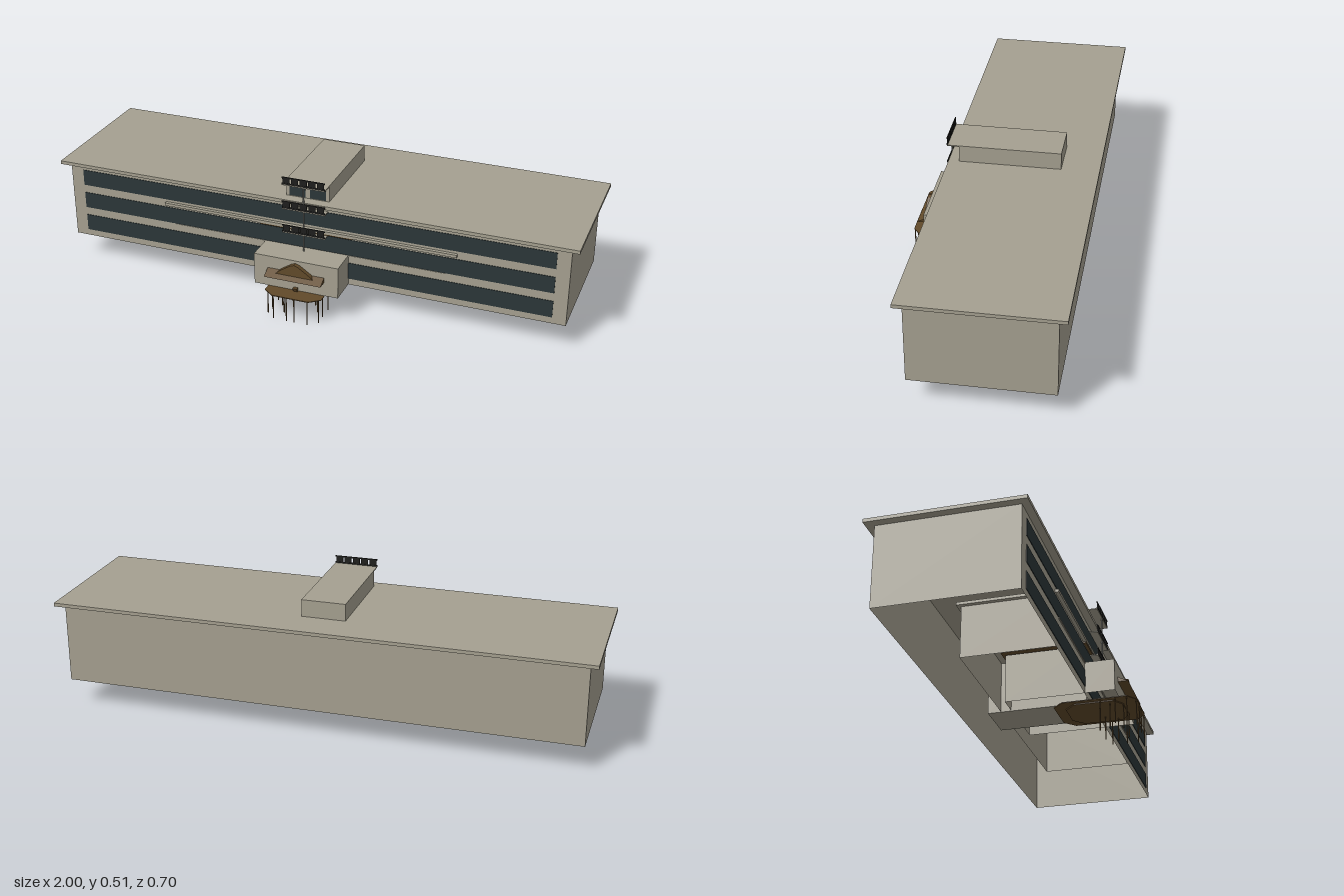
import * as THREE from 'three';

export function createModel() {
  const root = new THREE.Group();
  root.name = 'longBuilding';
  const mat = (name, color) => {
    const m = new THREE.MeshStandardMaterial({ color, side: THREE.DoubleSide });
    m.name = name;
    return m;
  };
  const concrete = mat('concrete', 0xa5a090);
  const glass = mat('darkGlass', 0x2b3638);
  const wood = mat('brownWood', 0x614a2a);
  const iron = mat('blackIron', 0x1e1e1c);
  const steel = mat('greySteel', 0x8a8a84);

  const add = (name, geo, material, parent = root) => {
    const mesh = new THREE.Mesh(geo, material);
    mesh.name = name;
    parent.add(mesh);
    return mesh;
  };
  // Box given by its extents; an open box has no floor
  const box = (name, material, [x0, x1], [y0, y1], [z0, z1], open = false, parent = root) => {
    const geo = new THREE.BoxGeometry(x1 - x0, y1 - y0, z1 - z0);
    if (open) {
      const idx = Array.from(geo.index.array);
      idx.splice(18, 6);
      geo.setIndex(idx);
      geo.clearGroups();
    }
    geo.translate((x0 + x1) / 2, (y0 + y1) / 2, (z0 + z1) / 2);
    return add(name, geo, material, parent);
  };
  const pm = (w) => [-w, w];

  // Main block and overhanging roof
  box('mainBlock', concrete, pm(0.97), [0.1, 0.405], [-0.32, 0.18], true);
  box('mainRoof', concrete, pm(1), [0.404, 0.417], [-0.35, 0.207]);

  // Inner volumes, open underneath, with roof edges that reach the front wall
  box('innerBlock', concrete, pm(0.556), [0.1, 0.296], [-0.16, 0.179], true);
  box('innerRoof', concrete, pm(0.57), [0.297, 0.308], [-0.175, 0.193]);
  box('entranceCore', concrete, pm(0.163), [0.1, 0.288], [-0.12, 0.178], true);
  box('entranceCoreRoof', wood, pm(0.18), [0.292, 0.297], [-0.135, 0.191]);
  box('lowerLedge', concrete, pm(0.53), [0.217, 0.222], [0.17, 0.184]);

  // Ribbon windows
  for (const [y0, y1] of [[0.125, 0.19], [0.222, 0.286], [0.318, 0.381]]) {
    box('ribbonWindow', glass, pm(0.92), [y0, y1], [0.179, 0.182]);
  }

  // Stair shaft rising through the roof, and the entrance porch
  box('stairShaft', concrete, pm(0.083), [0.098, 0.478], [-0.21, 0.167]);
  box('shaftRoof', concrete, pm(0.083), [0.477, 0.481], [-0.21, 0.212]);
  box('porch', concrete, pm(0.163), [0.1, 0.222], [0.18, 0.29], true);

  // Balconies with panelled railings
  const railing = (y, z, half) => {
    const g = new THREE.Group();
    g.name = 'railing';
    root.add(g);
    box('topRail', iron, pm(half), [y + 0.024, y + 0.029], [z - 0.002, z + 0.002], false, g);
    box('bottomRail', iron, pm(half), [y, y + 0.005], [z - 0.002, z + 0.002], false, g);
    const n = 5, step = (2 * half) / n;
    for (let i = 0; i < n; i++) {
      const x = -half + i * step;
      box('railPanel', iron, [x + 0.003, x + step - 0.003], [y + 0.003, y + 0.026], [z - 0.001, z + 0.001], false, g);
    }
  };
  for (const y of [0.285, 0.381]) {
    box('balconyFloor', concrete, pm(0.083), [y, y + 0.004], [0.17, 0.212]);
    railing(y + 0.004, 0.211, 0.083);
  }
  railing(0.481, 0.211, 0.083);
  box('innerRail', iron, pm(0.04), [0.29, 0.313], [0.202, 0.204]);
  const pole = add('balconyPole', new THREE.CylinderGeometry(0.003, 0.003, 0.256, 8), steel);
  pole.position.set(0, 0.349, 0.209);

  // Shaft windows and balcony doors
  for (const s of [-1, 1]) {
    const x = [s * 0.04 - 0.031, s * 0.04 + 0.031];
    box('shaftWindow', glass, x, [0.42, 0.459], [0.166, 0.169]);
    box('balconyDoor', glass, x, [0.224, 0.28], [0.18, 0.183]);
  }

  // Entrance gable: swept pediment on a sloping canopy
  const gable = new THREE.Shape();
  gable.moveTo(-0.072, 0.165);
  gable.lineTo(0.072, 0.165);
  gable.lineTo(0.06, 0.177);
  gable.lineTo(0.015, 0.207);
  gable.lineTo(0, 0.212);
  gable.lineTo(-0.015, 0.207);
  gable.lineTo(-0.06, 0.177);
  const pediment = add('pediment', new THREE.ExtrudeGeometry(gable, { depth: 0.017, bevelEnabled: false }), wood);
  pediment.position.z = 0.29;

  // Wedge drawn in (z, y) and swept along x
  const wedge = (name, pts, half) => {
    const shape = new THREE.Shape(pts.map(([z, y]) => new THREE.Vector2(-z, y)));
    const geo = new THREE.ExtrudeGeometry(shape, { depth: 2 * half, bevelEnabled: false });
    geo.rotateY(Math.PI / 2).translate(-half, 0, 0);
    add(name, geo, wood);
  };
  wedge('canopy', [[0.29, 0.155], [0.328, 0.155], [0.29, 0.174]], 0.11);
  wedge('doorSill', [[0.288, 0.098], [0.296, 0.098], [0.304, 0.113], [0.29, 0.113]], 0.008);

  // Raised deck with clipped corners on slim posts
  const deck = (name, w, z0, z1, cut, y, h) => {
    const pts = [[w - cut, z0], [w, z0 + cut], [w, z1 - cut * 0.75], [w - cut, z1]];
    const all = [...pts, ...pts.map(([x, z]) => [-x, z]).reverse()];
    const shape = new THREE.Shape(all.map(([x, z]) => new THREE.Vector2(x, -z)));
    const geo = new THREE.ExtrudeGeometry(shape, { depth: h, bevelEnabled: false });
    geo.rotateX(-Math.PI / 2).translate(0, y, 0);
    add(name, geo, wood);
  };
  deck('deck', 0.11, 0.04, 0.35, 0.04, 0.095, 0.003);
  deck('deckUnderside', 0.09, 0.08, 0.295, 0.04, 0.091, 0.004);
  const posts = [[0.015, 0.347], [0.066, 0.347], [0.099, 0.318], [0.045, 0.295], [0.099, 0.276], [0.07, 0.25], [0.099, 0.221], [0.045, 0.207]];
  for (const [x, z] of posts) {
    for (const s of [-1, 1]) {
      const post = add('deckPost', new THREE.CylinderGeometry(0.0022, 0.0022, 0.096, 6), wood);
      post.position.set(s * x, 0.048, z);
    }
  }
  return root;
}
